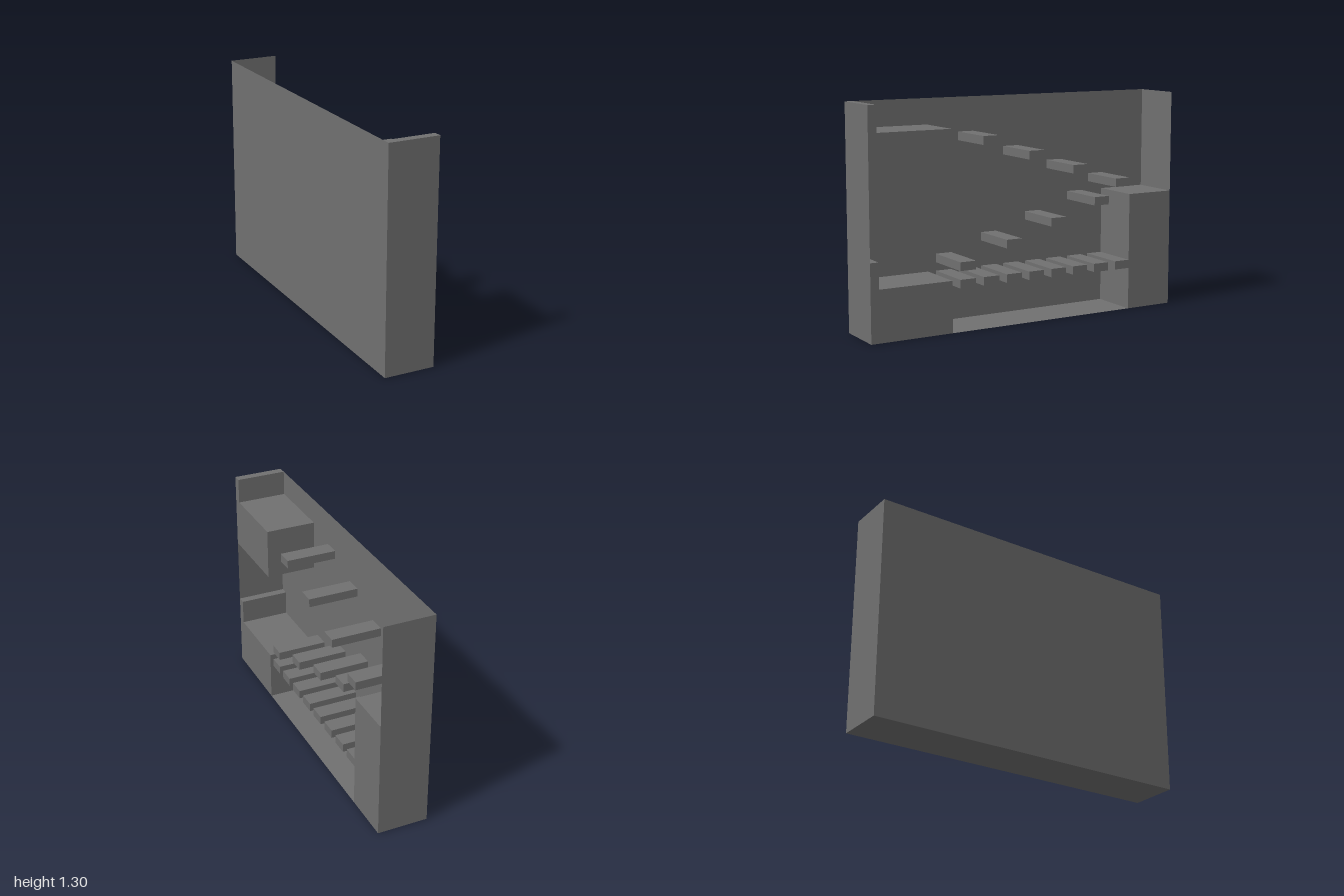
import * as THREE from 'three';

const WIDTH = 0.3, HEIGHT = 1.3, LENGTH = 2;
const DARK_GREY = 0x707070;

export function createModel() {
  const model = new THREE.Group();
  const solid = new THREE.MeshStandardMaterial({ color: DARK_GREY, flatShading: true });
  const sheet = new THREE.MeshStandardMaterial({ color: DARK_GREY, flatShading: true, side: THREE.DoubleSide });

  const add = (name, geometry, material) => {
    const mesh = new THREE.Mesh(geometry, material);
    mesh.name = name;
    model.add(mesh);
    return mesh;
  };

  // Thin shell: one long wall, two end walls and a floor; open at +x and on top
  add('sideWall', new THREE.PlaneGeometry(LENGTH, HEIGHT).rotateY(-Math.PI / 2), sheet)
    .position.set(-WIDTH / 2, HEIGHT / 2, 0);
  add('frontWall', new THREE.PlaneGeometry(WIDTH, HEIGHT), sheet)
    .position.set(0, HEIGHT / 2, LENGTH / 2);
  add('backWall', new THREE.PlaneGeometry(WIDTH, HEIGHT).rotateY(Math.PI), sheet)
    .position.set(0, HEIGHT / 2, -LENGTH / 2);
  add('floor', new THREE.PlaneGeometry(WIDTH, LENGTH).rotateX(Math.PI / 2), sheet);

  // Full-width blocks extruded from (z, y) outlines
  const addBlock = (name, outline) => {
    const shape = new THREE.Shape(outline.map(([z, y]) => new THREE.Vector2(z, y)));
    const geometry = new THREE.ExtrudeGeometry(shape, { depth: WIDTH, bevelEnabled: false });
    geometry.rotateY(-Math.PI / 2).translate(WIDTH / 2, 0, 0);
    add(name, geometry, solid);
  };
  // Ledge with a raised lip against the front wall
  const ledge = (bottom, top) => [
    [0.5, bottom], [1, bottom], [1, top + 0.15], [0.95, top + 0.15], [0.95, top], [0.5, top],
  ];
  addBlock('lowerLedge', ledge(0, 0.3));
  addBlock('upperLedge', ledge(0.85, 1.15));
  addBlock('backBlock', [[-1, 0], [-0.7, 0], [-0.7, 0.7], [-1, 0.7]]);

  // Slats of one size, placed by centre
  const slatGeometry = new THREE.BoxGeometry(WIDTH, 0.05, 0.1);
  const addSlat = (name, z, y) => add(name, slatGeometry, solid).position.set(0, y, z);

  // Level row of bridge slats
  for (let i = 0; i < 8; i++) addSlat('bridgeSlat', 0.4 - i * 0.15, 0.275);

  // Steps climbing to the back, then returning to the upper ledge
  [0.4, 0.1, -0.2, -0.5, -0.65, -0.35, -0.05, 0.25]
    .forEach((z, i) => addSlat('step', z, 0.375 + i * 0.1));

  return model;
}
